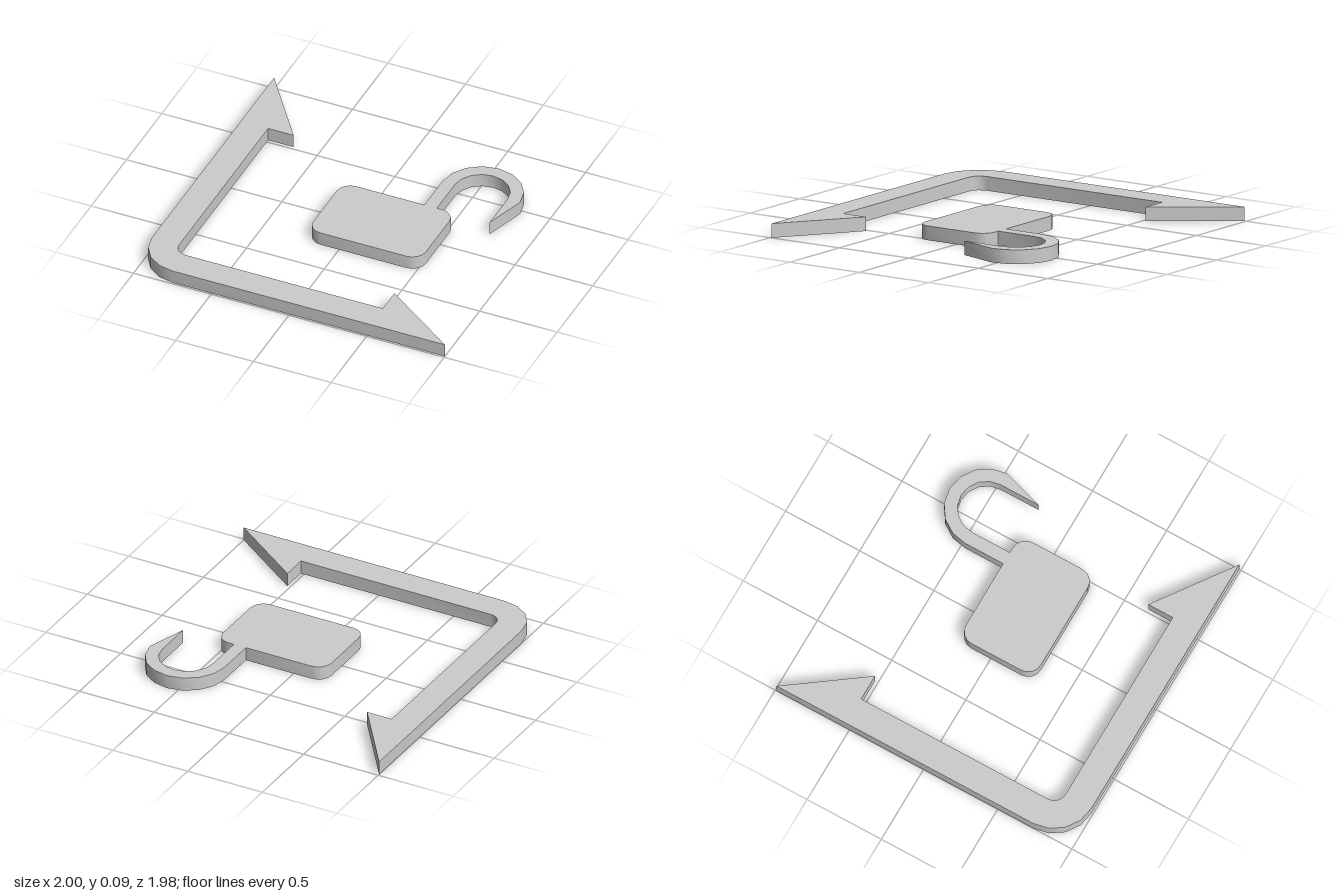
import * as THREE from 'three';
import { toCreasedNormals } from 'three/addons/utils/BufferGeometryUtils.js';

const THICKNESS = 0.085;
const material = new THREE.MeshStandardMaterial({ color: 0xcccccc });

// Extrude a plan outline (x, -z) upward from the ground, smoothing only its arcs.
function plate(name, shape, curveSegments) {
  const extruded = new THREE.ExtrudeGeometry(shape, {
    depth: THICKNESS, bevelEnabled: false, curveSegments,
  });
  extruded.rotateX(-Math.PI / 2);
  const mesh = new THREE.Mesh(toCreasedNormals(extruded, 0.6), material);
  mesh.name = name;
  return mesh;
}

// L-shaped bar with a rounded corner and a half arrowhead at each end
function cornerArrow() {
  const s = new THREE.Shape();
  s.moveTo(-1, 0.99);
  s.lineTo(-1, -0.74);
  s.absarc(-0.75, -0.74, 0.25, Math.PI, Math.PI * 1.5, false);
  s.lineTo(1, -0.99);
  s.lineTo(0.52, -0.65);
  s.lineTo(0.52, -0.815);
  s.lineTo(-0.75, -0.815);
  s.absarc(-0.75, -0.74, 0.075, Math.PI * 1.5, Math.PI, true);
  s.lineTo(-0.825, 0.52);
  s.lineTo(-0.66, 0.52);
  s.closePath();
  return plate('cornerArrow', s, 2);
}

// Rounded rectangle of the padlock
function lockBody() {
  const [x0, x1, y0, y1, r] = [-0.205, 0.52, -0.29, 0.215, 0.085];
  const s = new THREE.Shape();
  s.moveTo(x0 + r, y0);
  s.absarc(x1 - r, y0 + r, r, -Math.PI / 2, 0, false);
  s.absarc(x1 - r, y1 - r, r, 0, Math.PI / 2, false);
  s.absarc(x0 + r, y1 - r, r, Math.PI / 2, Math.PI, false);
  s.absarc(x0 + r, y0 + r, r, Math.PI, Math.PI * 1.5, false);
  return plate('lockBody', s, 2);
}

// Open hook swung out to the side of the padlock
function shackle() {
  const [cx, cy, outer, inner, foot] = [0.57, 0.47, 0.25, 0.17, 0.215];
  const s = new THREE.Shape();
  s.moveTo(cx + outer, foot);
  s.absarc(cx, cy, outer, 0, Math.PI, false);
  s.lineTo(cx - outer, foot);
  s.lineTo(cx - inner, foot);
  s.absarc(cx, cy, inner, Math.PI, 0, true);
  s.lineTo(cx + inner, foot);
  s.closePath();
  return plate('shackle', s, 4);
}

export function createModel() {
  const model = new THREE.Group();
  model.name = 'unlockedCornerSymbol';
  const padlock = new THREE.Group();
  padlock.name = 'padlock';
  padlock.add(lockBody(), shackle());
  model.add(cornerArrow(), padlock);
  return model;
}
